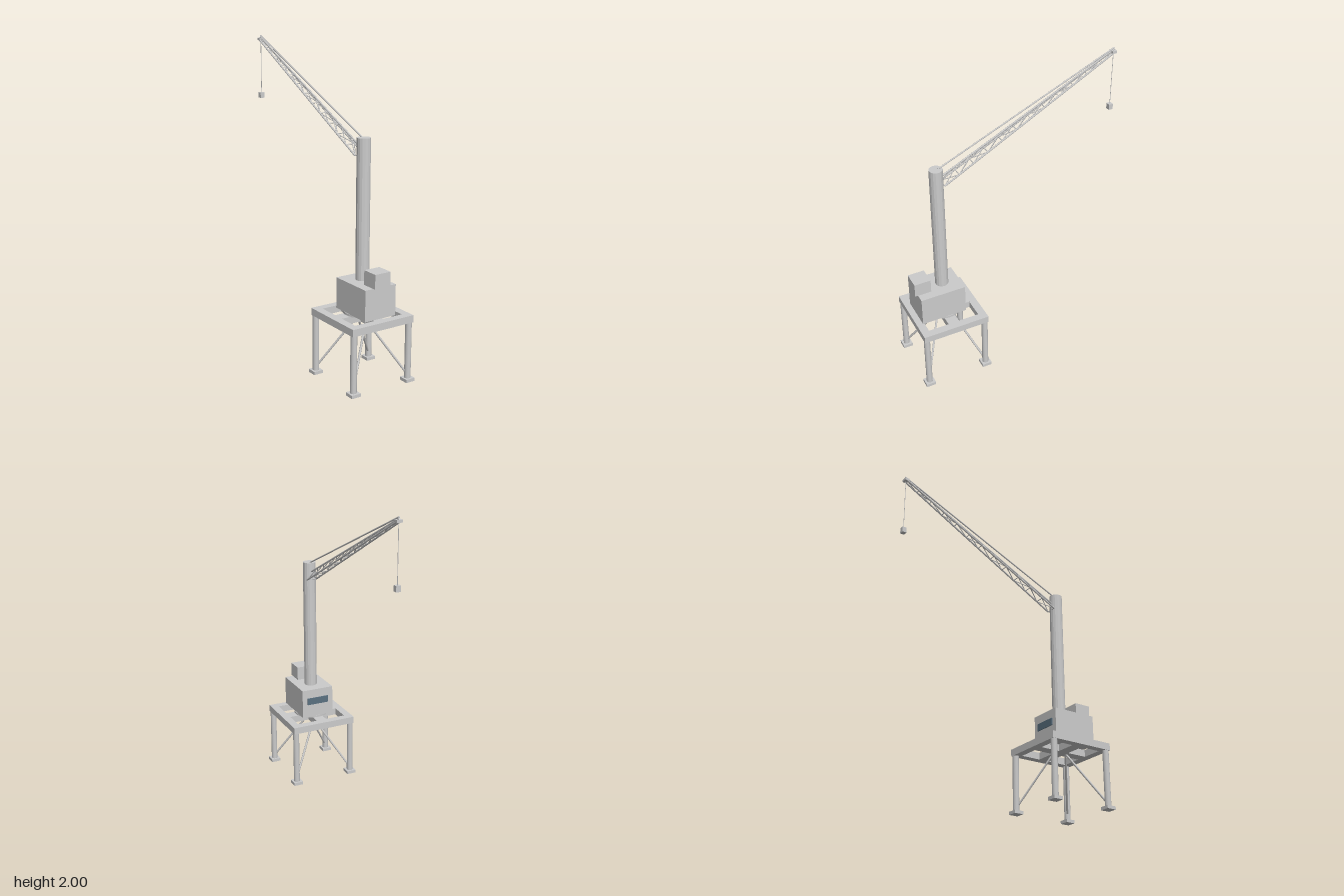
import * as THREE from 'three';

const CZ = 0.478; // z of the tower axis

export function createModel() {
  const crane = new THREE.Group();
  crane.name = 'portalCrane';
  const grey = new THREE.MeshStandardMaterial({ color: 0xcccccc });
  const facet = new THREE.MeshStandardMaterial({ color: 0xcccccc, flatShading: true });
  const glass = new THREE.MeshStandardMaterial({ color: 0x5a7080 });
  const V = (x, y, z) => new THREE.Vector3(x, y, z);

  const add = (name, geometry, material, x, y, z, parent = crane) => {
    const mesh = new THREE.Mesh(geometry, material);
    mesh.name = name;
    mesh.position.set(x, y, z);
    parent.add(mesh);
    return mesh;
  };
  const box = (name, w, h, d, x, y, z, material = grey, parent = crane) =>
    add(name, new THREE.BoxGeometry(w, h, d), material, x, y, z, parent);
  // Round bar between two points
  const bar = (name, a, b, r, parent = crane, sides = 6) => {
    const dir = b.clone().sub(a);
    const mid = a.clone().add(b).multiplyScalar(0.5);
    const mesh = add(name, new THREE.CylinderGeometry(r, r, dir.length(), sides), grey, mid.x, mid.y, mid.z, parent);
    mesh.quaternion.setFromUnitVectors(V(0, 1, 0), dir.normalize());
    return mesh;
  };

  // Portal: four legs with feet and braces running in to the middle
  const portal = new THREE.Group();
  portal.name = 'portal';
  crane.add(portal);
  for (const sx of [-1, 1]) {
    for (const sz of [-1, 1]) {
      const x = sx * 0.2, z = CZ + sz * 0.2;
      box('foot', 0.063, 0.02, 0.063, x, 0.01, z, grey, portal);
      add('leg', new THREE.CylinderGeometry(0.02, 0.02, 0.36, 12), grey, x, 0.2, z, portal);
      bar('brace', V(sx * 0.188, 0.06, CZ + sz * 0.19), V(0, 0.38, CZ + sz * 0.042), 0.007, portal);
    }
    // Outer beams of the deck frame
    box('sideBeam', 0.05, 0.045, 0.44, sx * 0.195, 0.3975, CZ, grey, portal);
    box('endBeam', 0.34, 0.045, 0.05, 0, 0.3975, CZ + sx * 0.195, grey, portal);
    box('middleBeam', 0.07, 0.045, 0.134, 0, 0.3975, CZ + sx * 0.103, grey, portal);
  }
  box('crossBeam', 0.34, 0.045, 0.072, 0, 0.3975, CZ, grey, portal);

  // Slewing ring, machinery house, window and counterweight
  add('slewingRing', new THREE.CylinderGeometry(0.115, 0.115, 0.014, 32), grey, 0, 0.426, CZ);
  box('house', 0.22, 0.193, 0.296, 0, 0.5285, 0.514);
  box('window', 0.15, 0.046, 0.008, 0, 0.543, 0.364, glass);
  box('counterweight', 0.11, 0.09, 0.108, 0, 0.671, 0.627);

  // Mast
  add('mast', new THREE.CylinderGeometry(0.042, 0.042, 0.86, 16), facet, 0, 1.05, CZ);

  // Tapering lattice jib with two lower chords and one upper chord
  const jib = new THREE.Group();
  jib.name = 'jib';
  crane.add(jib);
  const lower = (t, s) => V(s * 0.033, 1.372, 0.438).lerp(V(s * 0.012, 1.972, -0.7), t);
  const upper = (t) => V(0, 1.423, 0.442).lerp(V(0, 1.986, -0.7), t);
  bar('upperChord', upper(0), upper(1), 0.006, jib);
  for (const s of [-1, 1]) bar('lowerChord', lower(0, s), lower(1, s), 0.006, jib);
  const panels = 12;
  for (let i = 0; i <= panels; i++) {
    const t = i / panels, next = (i + 1) / panels;
    bar('rung', lower(t, -1), lower(t, 1), 0.003, jib, 5);
    if (i === panels) break;
    const side = i % 2 ? 1 : -1;
    bar('bottomLacing', lower(t, side), lower(next, -side), 0.003, jib, 5);
    for (const s of [-1, 1]) bar('sideLacing', lower(t, s), upper(next), 0.003, jib, 5);
  }

  // Stay from the mast top to the jib head
  bar('stay', V(0, 1.478, 0.465), V(0, 1.995, -0.7), 0.005);

  // Jib head, hoist rope and hook block
  box('jibHead', 0.036, 0.016, 0.03, 0, 1.972, -0.694);
  bar('hoistRope', V(0, 1.97, -0.695), V(0, 1.61, -0.695), 0.002);
  box('hookBlock', 0.03, 0.036, 0.028, 0, 1.6, -0.695);

  return crane;
}
